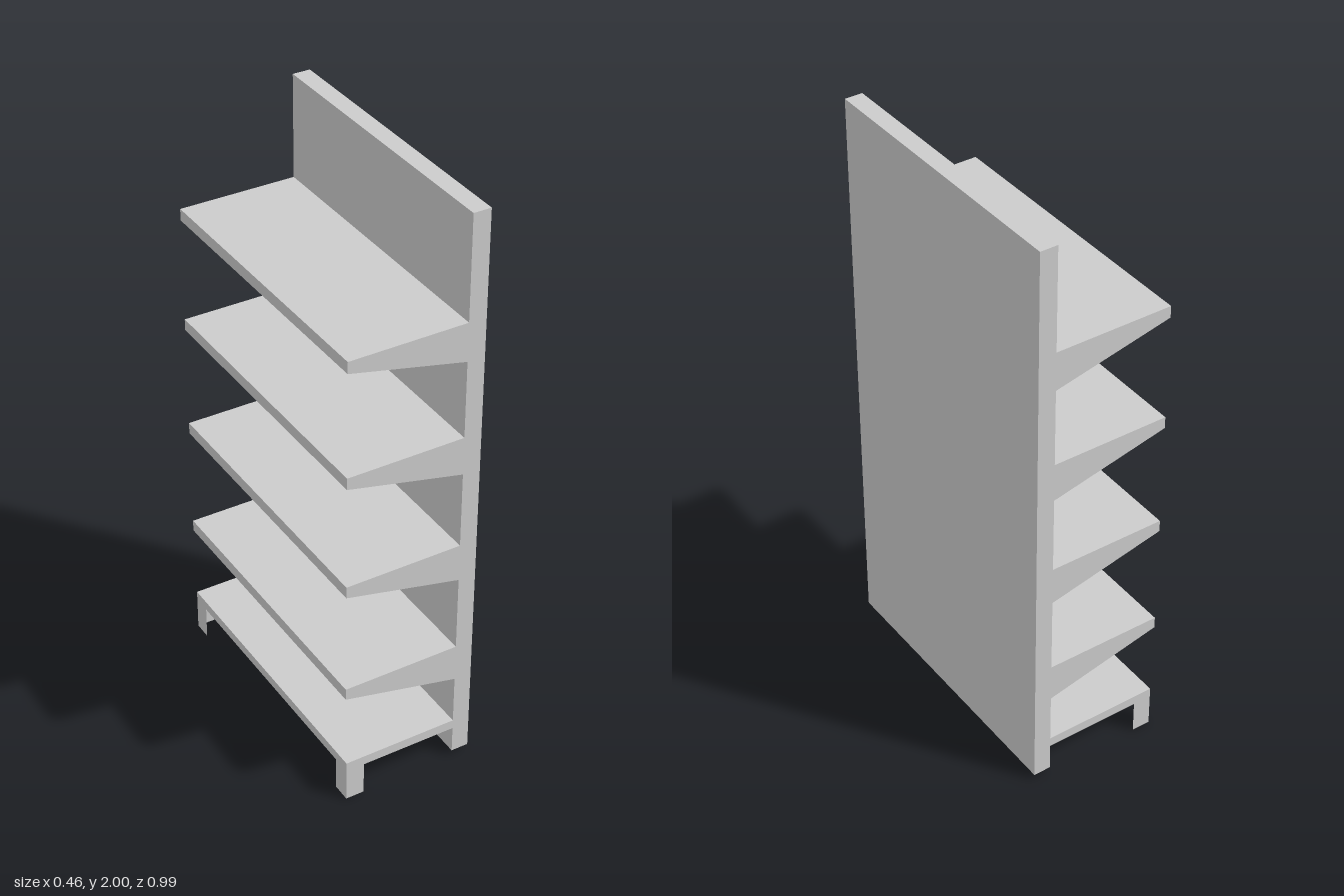
import * as THREE from 'three';

const HALF = 0.497;                 // half the length along z
const BACK = 0.17, REAR = 0.23;     // back panel faces
const sheet = new THREE.MeshStandardMaterial({ color: 0xcccccc, flatShading: true, side: THREE.DoubleSide });
const solid = new THREE.MeshStandardMaterial({ color: 0xcccccc, flatShading: true });

function add(parent, name, geometry, material = sheet) {
  const mesh = new THREE.Mesh(geometry, material);
  mesh.name = name;
  parent.add(mesh);
  return mesh;
}

// Horizontal sheet from x0 to x1 at height y
function topSheet(parent, name, x0, x1, y) {
  const g = new THREE.PlaneGeometry(x1 - x0, HALF * 2).rotateX(-Math.PI / 2);
  add(parent, name, g.translate((x0 + x1) / 2, y, 0));
}

// Upright sheet facing the aisle (-x)
function frontSheet(parent, name, x, y0, y1, z0, z1) {
  const g = new THREE.PlaneGeometry(z1 - z0, y1 - y0).rotateY(-Math.PI / 2);
  add(parent, name, g.translate(x, (y0 + y1) / 2, (z0 + z1) / 2));
}

// Matching outlines on both ends
function endSheets(parent, name, points) {
  const shape = new THREE.Shape(points.map(([x, y]) => new THREE.Vector2(x, y)));
  for (const s of [-1, 1]) {
    add(parent, name, new THREE.ShapeGeometry(shape)).position.z = s * HALF;
  }
}

export function createModel() {
  const model = new THREE.Group();
  model.name = 'shelvingUnit';

  // Solid back panel
  const panel = new THREE.BoxGeometry(REAR - BACK, 1.98, HALF * 2);
  add(model, 'backPanel', panel.translate((BACK + REAR) / 2, 1.01, 0), solid);

  // Four hollow shelves with a front lip and tapered end brackets
  for (let i = 0; i < 4; i++) {
    const shelf = new THREE.Group();
    shelf.name = 'shelf';
    const y = 0.455 + i * 0.397, x = -0.23;
    topSheet(shelf, 'shelfTop', x, BACK, y);
    frontSheet(shelf, 'shelfLip', x, y - 0.04, y, -HALF, HALF);
    endSheets(shelf, 'shelfBracket', [[x, y], [x, y - 0.04], [BACK, y - 0.132], [BACK, y]]);
    model.add(shelf);
  }

  // Base tray: open underneath, with folded angle legs at the front corners
  const base = new THREE.Group();
  base.name = 'base';
  const x = -0.226, top = 0.149, rim = 0.116, leg = 0.064;
  topSheet(base, 'baseTop', x, BACK, top);
  frontSheet(base, 'baseLip', x, rim, top, -HALF, HALF);
  endSheets(base, 'baseEnd', [[x, rim], [BACK, rim], [BACK, top], [x, top]]);
  endSheets(base, 'legSide', [[x, 0], [x + leg, 0], [x + leg, rim], [x, rim]]);
  frontSheet(base, 'legFront', x, 0, rim, HALF - leg, HALF);
  frontSheet(base, 'legFront', x, 0, rim, -HALF, leg - HALF);
  model.add(base);

  return model;
}
